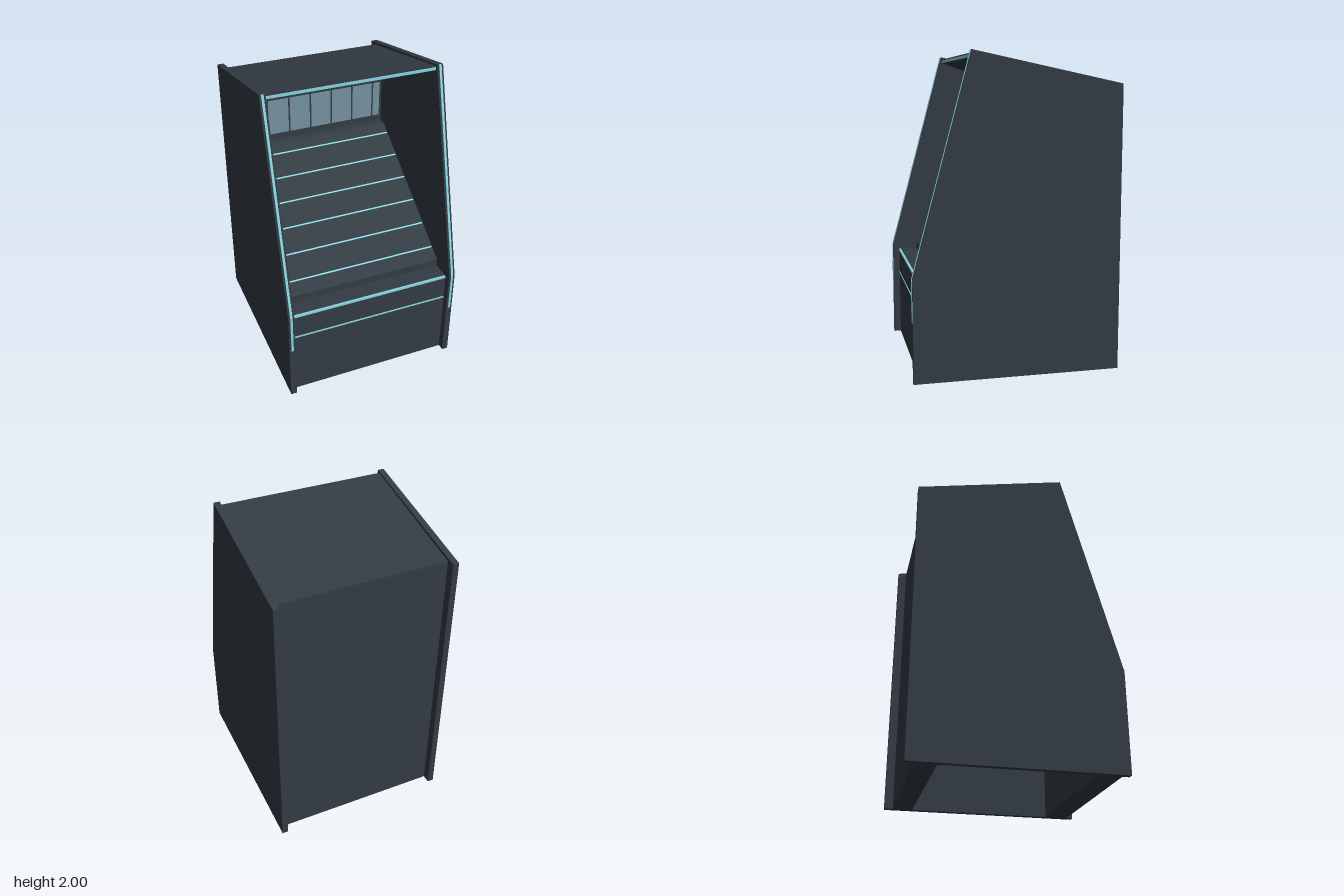
import * as THREE from 'three';

export function createModel() {
  const model = new THREE.Group();
  const material = (name, color) => {
    const m = new THREE.MeshStandardMaterial({ color });
    m.name = name;
    return m;
  };
  const charcoal = material('charcoal panel', 0x333b43);
  const cyan = material('cyan trim', 0x86d6e0);
  const glass = material('blue grey glass', 0x7592a0);

  const add = (name, geometry, mat) => {
    const mesh = new THREE.Mesh(geometry, mat);
    mesh.name = name;
    model.add(mesh);
    return mesh;
  };

  // Extrudes a [z, y] side profile across x, centred on cx
  const profile = (name, points, width, cx, mat) => {
    const shape = new THREE.Shape(points.map(([z, y]) => new THREE.Vector2(z, y)));
    const geometry = new THREE.ExtrudeGeometry(shape, { depth: width, bevelEnabled: false });
    geometry.translate(0, 0, -width / 2).rotateY(-Math.PI / 2).translate(cx, 0, 0);
    return add(name, geometry, mat);
  };

  const box = (name, size, position, mat, tilt = 0) => {
    const mesh = add(name, new THREE.BoxGeometry(...size), mat);
    mesh.position.set(...position);
    mesh.rotation.x = tilt;
    return mesh;
  };

  // Cabinet shell, hollow from below, with an open bay at the front
  const slopeBottom = [0.485, 0.67], slopeTop = [-0.415, 1.27];
  const ceilingBack = [-0.47, 1.7], ceilingFront = [0.275, 1.955];
  profile('cabinetBody', [
    [0.61, 0], [0.61, 0.62], [0.485, 0.62], slopeBottom, slopeTop, [-0.47, 1.27],
    ceilingBack, ceilingFront, [0.275, 1.985], [-0.6, 1.797], [-0.6, 0],
    [-0.47, 0], [-0.47, 1.195], [0.46, 0.575], [0.46, 0],
  ], 1.08, 0, charcoal);

  // Side panels with glowing front edges
  for (const side of [-1, 1]) {
    const label = side > 0 ? 'left' : 'right';
    profile(label + 'SidePanel', [
      [0.655, 0], [0.655, 0.65], [0.29, 2], [-0.655, 1.805], [-0.655, 0],
    ], 0.04, side * 0.56, charcoal);
    profile(label + 'EdgeTrim', [
      [0.655, 0.38], [0.659, 0.38], [0.659, 0.65], [0.294, 2], [0.29, 2], [0.655, 0.65],
    ], 0.015, side * 0.56, cyan);
  }

  // Horizontal trim on the roof lip, deck edge and front panel
  box('roofTrim', [1.08, 0.018, 0.006], [0, 1.969, 0.276], cyan);
  box('deckTrim', [1.075, 0.014, 0.014], [0, 0.614, 0.607], cyan);
  box('frontTrim', [1.075, 0.01, 0.006], [0, 0.446, 0.611], cyan);

  // Lines across the sloping playfield
  const rise = slopeTop[1] - slopeBottom[1], run = slopeBottom[0] - slopeTop[0];
  for (let i = 0; i < 6; i++) {
    const y = 0.724 + i * 0.1;
    const z = slopeBottom[0] - (y - slopeBottom[1]) * run / rise;
    box('playfieldLine', [1.07, 0.006, 0.01], [0, y, z], cyan, Math.atan2(rise, run));
  }

  // Row of windows on the rear wall, narrow panes at both ends
  const edges = [-0.527, -0.467, -0.31, -0.155, 0, 0.155, 0.31, 0.467, 0.527];
  for (let i = 0; i < edges.length - 1; i++) {
    const width = edges[i + 1] - edges[i] - 0.012;
    box('rearWindow', [width, 0.25, 0.008], [(edges[i] + edges[i + 1]) / 2, 1.443, -0.467], glass);
  }

  // Light panel under the canopy
  const pitch = (ceilingFront[1] - ceilingBack[1]) / (ceilingFront[0] - ceilingBack[0]);
  const panelZ = -0.145;
  box('ceilingLight', [0.84, 0.009, 0.58],
    [0, ceilingBack[1] + (panelZ - ceilingBack[0]) * pitch - 0.003, panelZ],
    glass, -Math.atan(pitch));

  return model;
}
